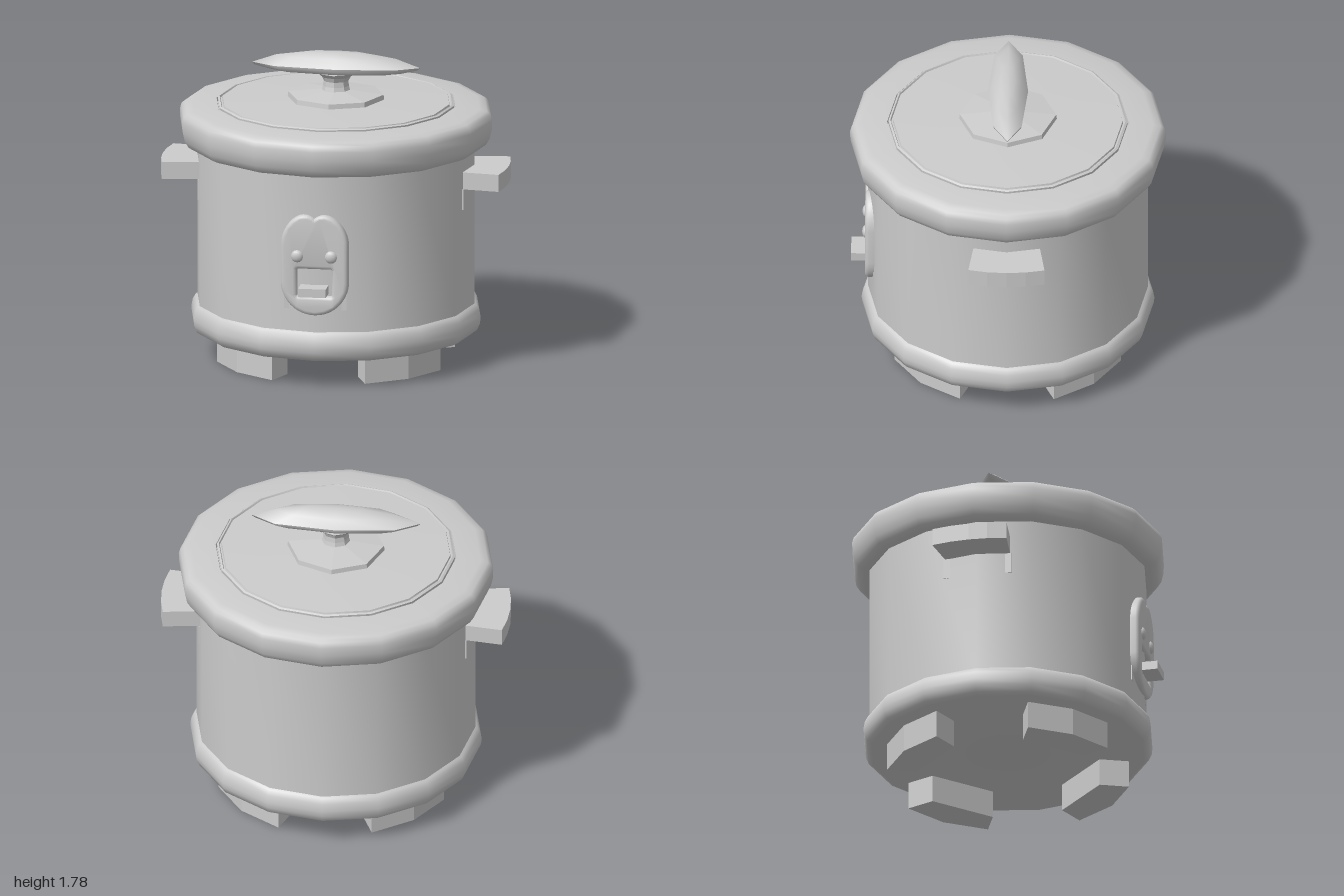
import * as THREE from 'three';
import { toCreasedNormals } from 'three/addons/utils/BufferGeometryUtils.js';

const smoothMat = new THREE.MeshStandardMaterial({ color: 0xcccccc });
const flatMat = new THREE.MeshStandardMaterial({ color: 0xcccccc, flatShading: true });

function add(parent, name, geometry, material = smoothMat) {
  const mesh = new THREE.Mesh(geometry, material);
  mesh.name = name;
  parent.add(mesh);
  return mesh;
}

// Turned part: profile as [radius, y] pairs from bottom to top.
function turned(profile, sides, crease = 0.75) {
  const points = profile.map(([r, y]) => new THREE.Vector2(r, y));
  return toCreasedNormals(new THREE.LatheGeometry(points, sides), crease);
}

// Upright block from a plan outline given as [x, z] pairs.
function block(plan, y, height) {
  const shape = new THREE.Shape(plan.map(([x, z]) => new THREE.Vector2(x, -z)));
  const geo = new THREE.ExtrudeGeometry(shape, { depth: height, bevelEnabled: false });
  return geo.rotateX(-Math.PI / 2).translate(0, y, 0);
}

const polar = (r, degrees) => {
  const a = THREE.MathUtils.degToRad(degrees);
  return [r * Math.cos(a), r * Math.sin(a)];
};

function roundedRect(target, x, y, w, h, r) {
  target.moveTo(x + r, y);
  target.lineTo(x + w - r, y);
  target.absarc(x + w - r, y + r, r, -Math.PI / 2, 0);
  target.lineTo(x + w, y + h - r);
  target.absarc(x + w - r, y + h - r, r, 0, Math.PI / 2);
  target.lineTo(x + r, y + h);
  target.absarc(x + r, y + h - r, r, Math.PI / 2, Math.PI);
  target.lineTo(x, y + r);
  target.absarc(x + r, y + r, r, Math.PI, Math.PI * 1.5);
  return target;
}

function controlPanel() {
  const panel = new THREE.Group();
  panel.name = 'controlPanel';

  // Capsule plate with a small dip at the top and a switch window
  const b = 0.022;
  const w = 0.195 - b;
  const plate = new THREE.Shape();
  plate.moveTo(-w, 0.62);
  plate.absarc(0, 0.43 + 0.195, w, Math.PI, Math.PI * 2);
  plate.lineTo(w, 0.84);
  plate.bezierCurveTo(w, 0.93, 0.1, 1.01, 0.045, 1.0);
  plate.quadraticCurveTo(0.02, 0.995, 0, 0.975);
  plate.quadraticCurveTo(-0.02, 0.995, -0.045, 1.0);
  plate.bezierCurveTo(-0.1, 1.01, -w, 0.93, -w, 0.84);
  plate.closePath();
  plate.holes.push(roundedRect(new THREE.Path(), -0.122, 0.523, 0.244, 0.202, 0.03));
  const plateGeo = new THREE.ExtrudeGeometry(plate, {
    depth: 0.06, bevelThickness: 0.022, bevelSize: b, bevelSegments: 3, curveSegments: 10,
  }).translate(0, 0, 0.732);
  add(panel, 'panelPlate', toCreasedNormals(plateGeo, 0.7));

  // Backing box behind the lower half of the plate
  add(panel, 'switchBacking', new THREE.BoxGeometry(0.36, 0.31, 0.06).translate(0, 0.615, 0.74));

  // Switch lever
  add(panel, 'switchLever', new THREE.BoxGeometry(0.16, 0.05, 0.15).translate(0, 0.585, 0.82));

  // Indicator lamps
  for (const side of [-1, 1]) {
    const lamp = add(panel, 'indicatorLamp', new THREE.SphereGeometry(0.037, 12, 8));
    lamp.scale.z = 0.6;
    lamp.position.set(side * 0.098, 0.78, 0.81);
  }
  return panel;
}

function sideHandle() {
  const handle = new THREE.Group();
  handle.name = 'sideHandle';
  // Curved grip
  const angles = [-12.6, -6.3, 0, 6.3, 12.6];
  const plan = [
    ...angles.map((a) => polar(0.995 + 0.005 * Math.cos(a * 0.1), a)),
    [0.76, 0.19],
    [0.76, -0.19],
  ];
  add(handle, 'handleGrip', block(plan.reverse(), 1.05, 0.1), flatMat);
  // Mounting bracket below the grip
  add(handle, 'handleBracket', new THREE.BoxGeometry(0.04, 0.12, 0.4).translate(0.748, 0.99, 0), flatMat);
  return handle;
}

export function createModel() {
  const model = new THREE.Group();
  model.name = 'slowCooker';

  // Pot body and rings
  add(model, 'body', turned([[0.8, 0.3], [0.8, 1.27]], 16));
  add(model, 'baseRing', turned([
    [0, 0.16], [0.79, 0.16], [0.815, 0.175], [0.832, 0.215], [0.836, 0.25],
    [0.828, 0.295], [0.812, 0.325], [0.785, 0.34],
  ], 16));
  add(model, 'topRim', turned([
    [0.78, 1.25], [0.83, 1.252], [0.865, 1.268], [0.888, 1.305], [0.9, 1.36], [0.902, 1.415],
    [0.893, 1.447], [0.872, 1.465], [0.83, 1.475], [0.69, 1.485], [0.685, 1.465], [0.6, 1.465],
  ], 16));

  // Lid
  add(model, 'lid', turned([
    [0.68, 1.46], [0.683, 1.492], [0.672, 1.498], [0.667, 1.488], [0.658, 1.488],
    [0.655, 1.499], [0.28, 1.512], [0, 1.515],
  ], 16));
  add(model, 'lidKnobBase', turned([
    [0.28, 1.505], [0.275, 1.54], [0.085, 1.562], [0, 1.562],
  ], 8, 0.3), flatMat);
  add(model, 'lidKnobStem', turned([
    [0.085, 1.55], [0.075, 1.585], [0.072, 1.615], [0.085, 1.64], [0.12, 1.665],
  ], 8, 0.3), flatMat).scale.z = 0.9;
  const knob = add(model, 'lidKnob', turned([
    [0, 1.65], [0.13, 1.652], [0.38, 1.668], [0.47, 1.69], [0.485, 1.705],
    [0.345, 1.755], [0.17, 1.78], [0, 1.785],
  ], 8, 0.9));
  knob.scale.z = 0.237;

  // Side handles
  for (const turn of [0, Math.PI]) {
    const handle = sideHandle();
    handle.rotation.y = turn;
    model.add(handle);
  }

  // Feet
  const footPlan = [
    polar(0.53, 67.5), polar(0.7, 67.5), polar(0.7, 45), polar(0.7, 22.5), polar(0.53, 22.5),
  ];
  for (let i = 0; i < 4; i++) {
    const foot = add(model, 'foot', block(footPlan, 0, 0.17), flatMat);
    foot.rotation.y = (i * Math.PI) / 2;
  }

  model.add(controlPanel());
  return model;
}
